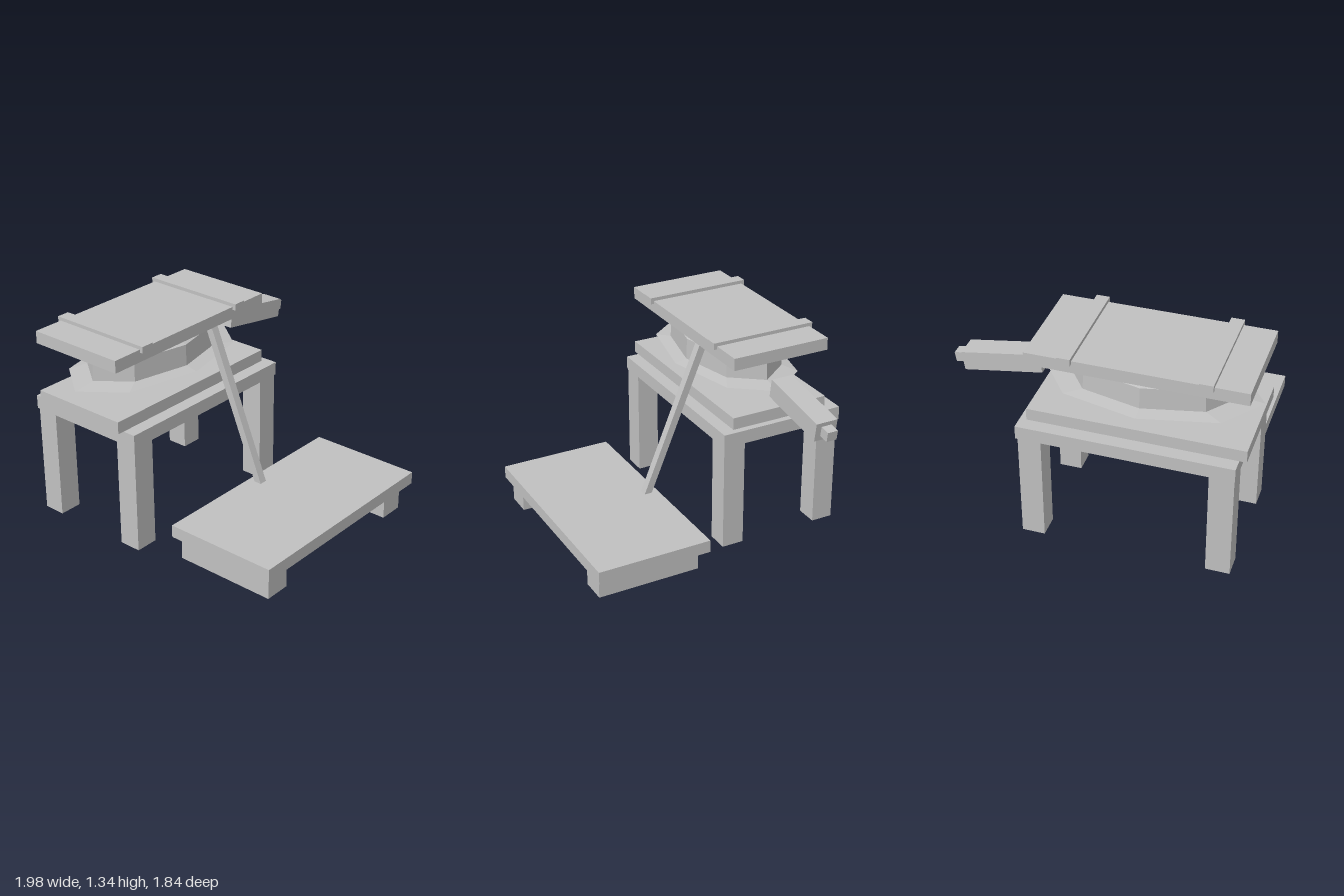
import * as THREE from 'three';

export function createModel() {
  const model = new THREE.Group();
  model.name = 'forgeBellows';
  const grey = new THREE.MeshStandardMaterial({ color: 0xc0c0c0, flatShading: true });
  grey.name = 'plain grey';

  const add = (name, geometry, parent = model) => {
    const mesh = new THREE.Mesh(geometry, grey);
    mesh.name = name;
    parent.add(mesh);
    return mesh;
  };
  // Box given by its limits on each axis
  const slab = (name, [x0, x1], [y0, y1], [z0, z1]) => {
    const mesh = add(name, new THREE.BoxGeometry(x1 - x0, y1 - y0, z1 - z0));
    mesh.position.set((x0 + x1) / 2, (y0 + y1) / 2, (z0 + z1) / 2);
    return mesh;
  };

  // Table
  slab('tableTop', [-0.91, 0.455], [0.735, 0.825], [-0.925, -0.068]);
  for (const x of [[-0.905, -0.75], [0.297, 0.445]])
    for (const z of [[-0.912, -0.765], [-0.222, -0.073]]) slab('tableLeg', x, [0.005, 0.735], z);

  // Bellows boards and the two battens
  slab('lowerBoard', [-0.955, 0.412], [0.825, 0.905], [-0.837, -0.155]);
  slab('upperBoard', [-0.955, 0.412], [1.23, 1.312], [-0.837, -0.155]);
  for (const x of [[-0.745, -0.66], [0.113, 0.197]]) slab('batten', x, [1.292, 1.335], [-0.86, -0.132]);

  // Eight-sided bag with a thin rim, stretched along x
  const profile = [
    [0, 0.905], [0.16, 0.905], [0.54, 0.995], [0.69, 1.013],
    [0.54, 1.03], [0.53, 1.17], [0.25, 1.23], [0, 1.23],
  ].map(([r, y]) => new THREE.Vector2(r, y));
  const bag = add('bellowsBag', new THREE.LatheGeometry(profile, 8));
  bag.scale.z = 0.545;
  bag.position.set(-0.285, 0, -0.493);

  // Nozzle, tilted down to the side
  const nozzle = new THREE.Group();
  nozzle.name = 'nozzle';
  nozzle.position.set(0.672, 1.014, -0.495);
  nozzle.rotation.z = -0.16;
  add('nozzlePipe', new THREE.BoxGeometry(0.522, 0.126, 0.15), nozzle);
  add('nozzleTip', new THREE.BoxGeometry(0.08, 0.065, 0.072), nozzle).position.set(0.291, 0.003, 0);
  model.add(nozzle);

  // Slanted rod from treadle to upper board, ends cut level
  const rodShape = new THREE.Shape([
    [0.25, 0.24], [-0.158, 1.23], [-0.212, 1.23], [0.198, 0.24],
  ].map(([z, y]) => new THREE.Vector2(z, y)));
  const rod = add('rod', new THREE.ExtrudeGeometry(rodShape, { depth: 0.054, bevelEnabled: false }));
  rod.rotation.y = -Math.PI / 2;
  rod.position.x = -0.033;

  // Treadle platform on two runners
  slab('treadleBoard', [-0.83, 0.672], [0.16, 0.243], [0.15, 0.917]);
  for (const x of [[-0.787, -0.614], [0.413, 0.584]]) slab('treadleRunner', x, [0, 0.16], [0.19, 0.88]);

  return model;
}
